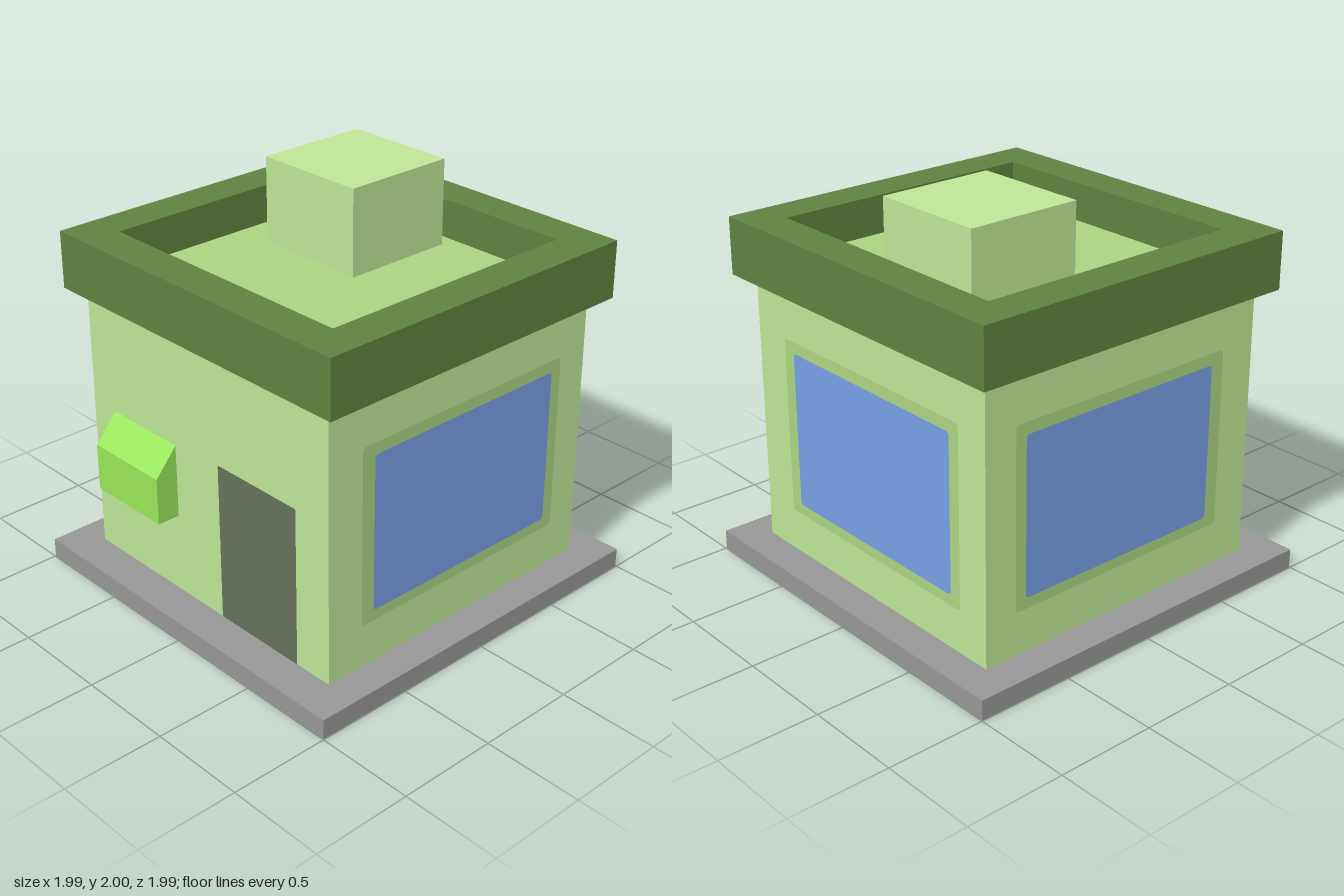
import * as THREE from 'three';

const paint = (name, color, side = THREE.FrontSide) => {
  const m = new THREE.MeshStandardMaterial({ color, side });
  m.name = name;
  return m;
};

// Rectangle outline, optionally with rounded corners
function rect(x0, y0, x1, y1, r = 0) {
  const s = new THREE.Shape();
  if (!r) {
    return s.moveTo(x0, y0).lineTo(x1, y0).lineTo(x1, y1).lineTo(x0, y1).closePath();
  }
  s.absarc(x1 - r, y0 + r, r, -Math.PI / 2, 0);
  s.absarc(x1 - r, y1 - r, r, 0, Math.PI / 2);
  s.absarc(x0 + r, y1 - r, r, Math.PI / 2, Math.PI);
  s.absarc(x0 + r, y0 + r, r, Math.PI, Math.PI * 1.5);
  return s.closePath();
}

const flat = (shape) => new THREE.ShapeGeometry(shape, 4);

export function createModel() {
  const wallGreen = paint('wall green', 0xbce695, THREE.DoubleSide);
  const deckGreen = paint('muted green', 0xaad382);
  const trimGreen = paint('dark green', 0x5e8240, THREE.DoubleSide);
  const brightGreen = paint('bright green', 0x98e658);
  const glassBlue = paint('glass blue', 0x779ee4);
  const doorGrey = paint('door grey', 0x65715b, THREE.DoubleSide);
  const slabGrey = paint('slab grey', 0x969696, THREE.DoubleSide);

  const model = new THREE.Group();
  model.name = 'building';

  const add = (name, geometry, material, parent = model) => {
    const mesh = new THREE.Mesh(geometry, material);
    mesh.name = name;
    parent.add(mesh);
    return mesh;
  };
  // Fit a unit geometry between a lower and an upper corner
  const fit = (geometry, [x0, y0, z0], [x1, y1, z1]) =>
    geometry.scale(x1 - x0, y1 - y0, z1 - z0)
      .translate((x0 + x1) / 2, (y0 + y1) / 2, (z0 + z1) / 2);
  const box = (name, material, low, high) =>
    add(name, fit(new THREE.BoxGeometry(), low, high), material);
  // Four upright faces without top or bottom
  const shell = (name, material, low, high) => {
    const tube = new THREE.CylinderGeometry(Math.SQRT1_2, Math.SQRT1_2, 1, 4, 1, true)
      .rotateY(Math.PI / 4).toNonIndexed();
    const geometry = fit(tube, low, high);
    geometry.computeVertexNormals();
    return add(name, geometry, material);
  };
  // Level face at height y, its shape drawn in x and -z
  const level = (name, material, shape, y) => {
    add(name, flat(shape).rotateX(-Math.PI / 2), material).position.y = y;
  };

  // Ground slab, hollow underneath
  shell('slabSides', slabGrey, [-0.997, 0, -0.997], [0.997, 0.1, 0.997]);
  level('slabTop', slabGrey, rect(-0.997, -0.997, 0.997, 0.997), 0.1);

  // Walls and rooftop box
  shell('walls', wallGreen, [-0.827, 0.097, -0.829], [0.829, 1.57, 0.809]);
  box('rooftopBox', wallGreen, [-0.52, 1.56, -0.638], [0.078, 2, -0.044]);

  // Parapet, open underneath: outer faces, inner faces and rim
  shell('parapetOuter', trimGreen, [-0.915, 1.473, -0.908], [0.915, 1.759, 0.878]);
  shell('parapetInner', trimGreen, [-0.721, 1.565, -0.717], [0.721, 1.759, 0.683]);
  const rim = rect(-0.915, -0.878, 0.915, 0.908);
  rim.holes.push(rect(-0.721, -0.683, 0.721, 0.717));
  level('parapetRim', trimGreen, rim, 1.759);

  // Roof deck inside the parapet
  level('roofDeck', deckGreen, rect(-0.721, -0.683, 0.721, 0.717), 1.565);

  // Door face on the front
  add('door', flat(rect(0.102, 0.097, 0.622, 0.912, 0.008)), doorGrey).position.z = 0.811;

  // Wall box with a sloping top, profile drawn in z and y
  const profile = new THREE.Shape()
    .moveTo(0.8, 0.513).lineTo(0.927, 0.513).lineTo(0.927, 0.752)
    .lineTo(0.809, 0.888).lineTo(0.8, 0.888).closePath();
  const wallBox = add('wallBox',
    new THREE.ExtrudeGeometry(profile, { depth: 0.46, bevelEnabled: false }), brightGreen);
  wallBox.rotation.y = -Math.PI / 2;
  wallBox.position.x = -0.205;

  // Framed windows on both sides and the back; shift centres the glass in z or x
  const addWindow = (name, x, z, turn, shift) => {
    const group = new THREE.Group();
    group.name = name;
    group.position.set(x, 0, z);
    group.rotation.y = turn;
    const glass = () => rect(shift - 0.57, 0.37, shift + 0.57, 1.161, 0.02);
    const surround = rect(-0.636, 0.317, 0.636, 1.22, 0.02);
    surround.holes.push(glass());
    add('windowFrame', flat(surround), deckGreen, group);
    add('windowGlass', flat(glass()), glassBlue, group);
    model.add(group);
  };
  addWindow('leftWindow', 0.831, -0.024, Math.PI / 2, 0.007);
  addWindow('rightWindow', -0.829, -0.024, -Math.PI / 2, -0.007);
  addWindow('backWindow', -0.018, -0.831, Math.PI, 0.003);

  return model;
}
